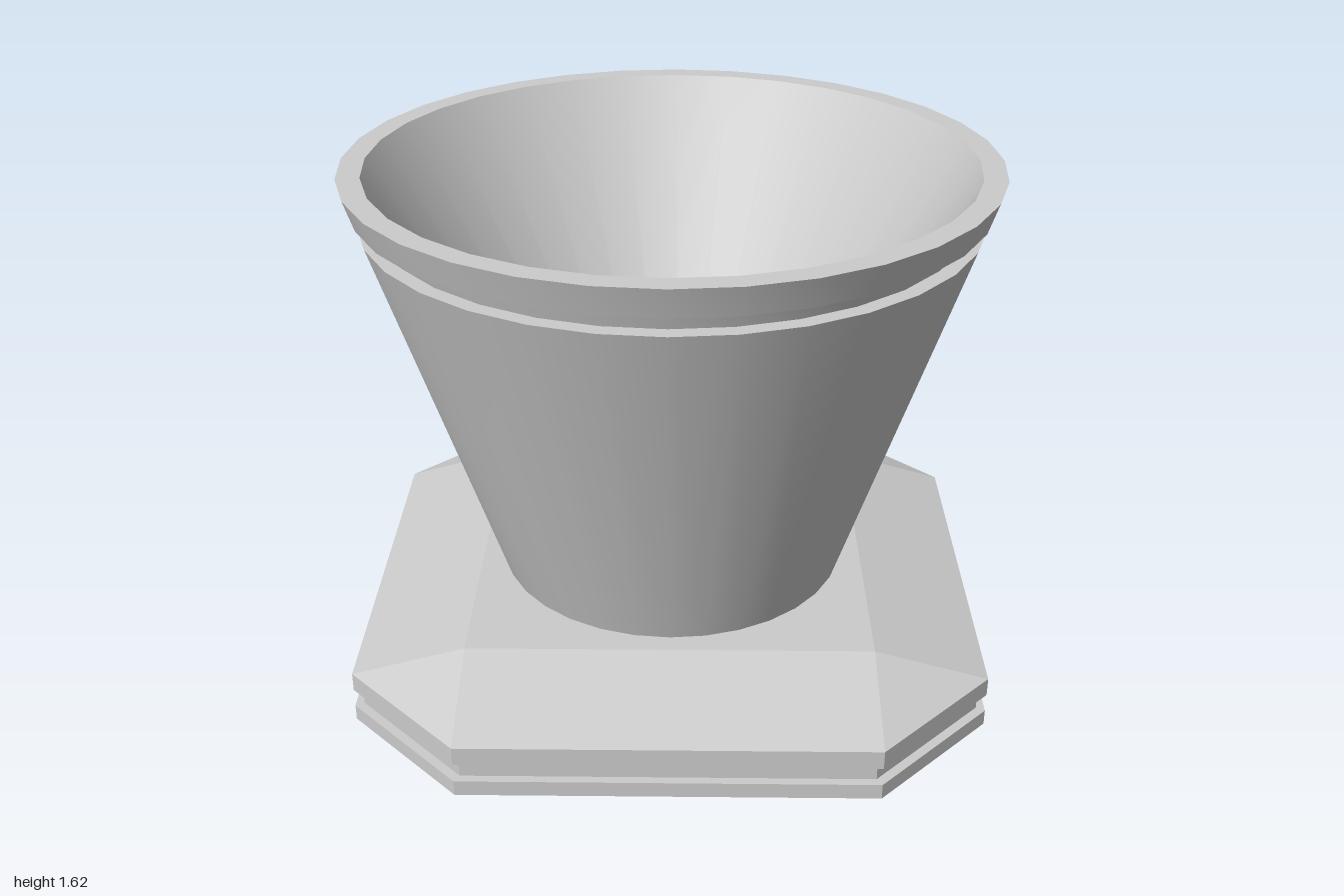
import * as THREE from 'three';
import { toCreasedNormals } from 'three/addons/utils/BufferGeometryUtils.js';

const material = new THREE.MeshStandardMaterial({ color: 0xcccccc });

// Chamfered square, counter-clockwise from above: half width h, flat sides reach to c
function ring([h, c, y]) {
  return [[h, c], [h, -c], [c, -h], [-c, -h], [-h, -c], [-h, c], [-c, h], [c, h]]
    .map(([x, z]) => new THREE.Vector3(x, y, z));
}

// Flat-shaded skin through a stack of rings, from bottom to top
function loftRings(sections) {
  const rings = sections.map(ring);
  const points = [];
  const addTriangle = (a, b, c) => {
    const area = b.clone().sub(a).cross(c.clone().sub(a)).length();
    if (area > 1e-7) points.push(a, b, c);
  };
  for (let i = 0; i < rings.length - 1; i++) {
    for (let j = 0; j < 8; j++) {
      const k = (j + 1) % 8;
      const [low, high] = [rings[i], rings[i + 1]];
      addTriangle(low[j], low[k], high[k]);
      addTriangle(low[j], high[k], high[j]);
    }
  }
  const geometry = new THREE.BufferGeometry().setFromPoints(points);
  geometry.computeVertexNormals();
  return geometry;
}

export function createModel() {
  const model = new THREE.Group();

  // Grooved plinth whose sloped top rises to a plain square
  const base = new THREE.Mesh(loftRings([
    [0, 0, 0],
    [0.977, 0.625, 0],
    [0.977, 0.625, 0.05],
    [0.951, 0.61, 0.05],
    [0.951, 0.61, 0.11],
    [0.977, 0.625, 0.11],
    [0.977, 0.625, 0.17],
    [0.625, 0.625, 0.27],
    [0, 0, 0.27],
  ]), material);
  base.name = 'base';
  model.add(base);

  // Flared cup: outer wall, groove, rim, then the funnel down to a small floor
  const profile = [
    [0.56, 0.27],
    [0.949, 1.465],
    [0.9, 1.465],
    [0.92, 1.525],
    [0.97, 1.525],
    [1, 1.618],
    [0.928, 1.618],
    [0.13, 0.275],
    [0, 0.275],
  ].map(([r, y]) => new THREE.Vector2(r, y));
  const cup = new THREE.Mesh(toCreasedNormals(new THREE.LatheGeometry(profile, 32), 0.5), material);
  cup.name = 'cup';
  model.add(cup);

  return model;
}
